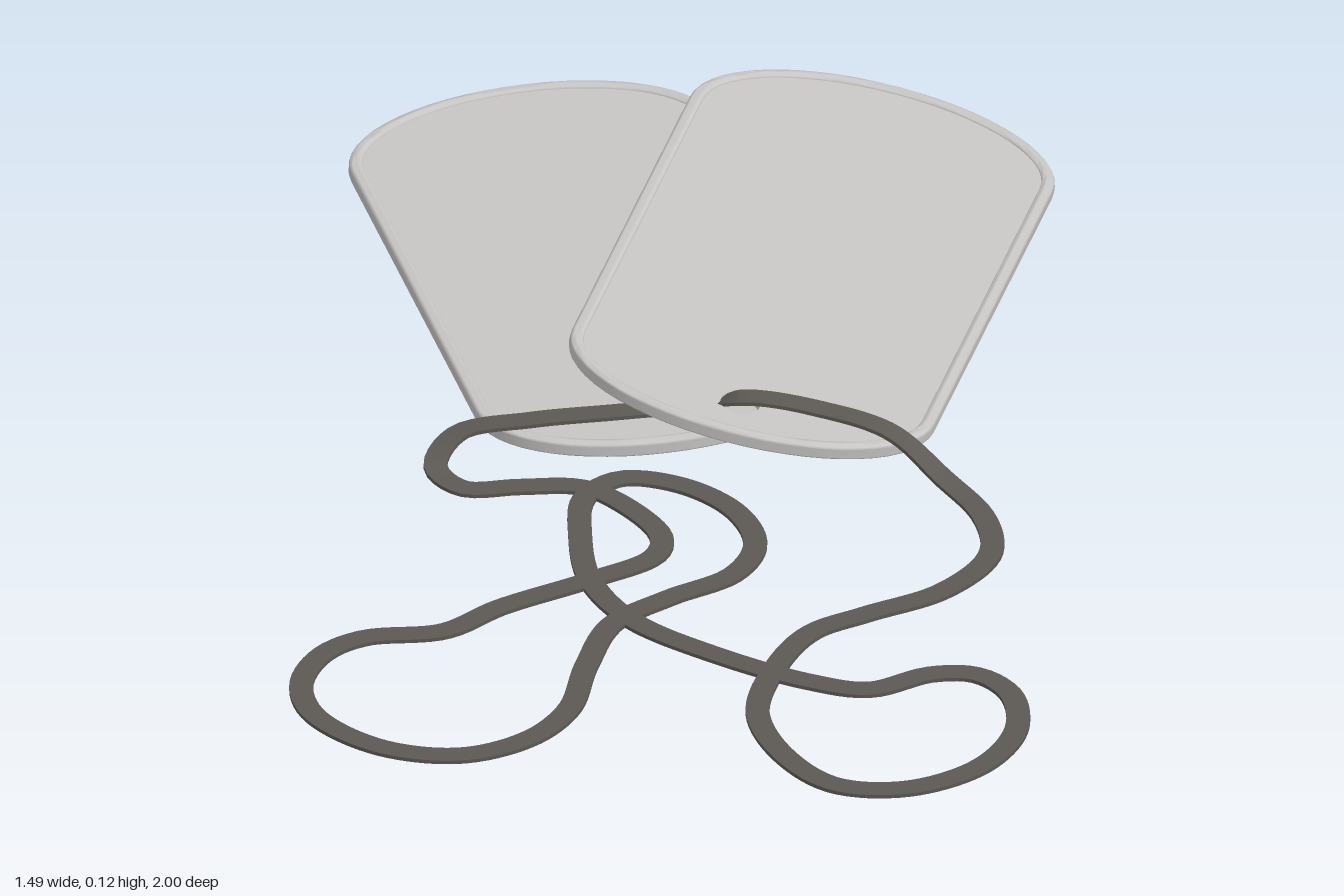
import * as THREE from 'three';
import { toCreasedNormals } from 'three/addons/utils/BufferGeometryUtils.js';

const steel = new THREE.MeshStandardMaterial({ color: 0xc6c5c3 });
steel.name = 'steel';
const darkChain = new THREE.MeshStandardMaterial({ color: 0x5c5854, side: THREE.DoubleSide });
darkChain.name = 'dark chain';

const HOLE_Y = -0.418;

// Straight sides with shallow elliptical ends, shrunk by an inset
function outline(inset, Type = THREE.Shape) {
  const pts = [];
  for (const end of [1, -1]) {
    for (let i = 0; i <= 28; i++) {
      const a = (i / 28) * Math.PI;
      pts.push(new THREE.Vector2(
        end * (0.285 - inset) * Math.cos(a),
        end * (0.34 + (0.165 - inset) * Math.sin(a))));
    }
  }
  return new Type(pts);
}

// Lay an extrusion flat, centred on its thickness
function flatExtrude(shape, options) {
  const geo = new THREE.ExtrudeGeometry(shape, { curveSegments: 24, ...options });
  geo.translate(0, 0, -options.depth / 2);
  geo.rotateX(-Math.PI / 2);
  return toCreasedNormals(geo, 0.8);
}

function makeTag(name) {
  const tag = new THREE.Group();
  tag.name = name;

  // Thin plate with the chain hole
  const plateShape = outline(0.014);
  plateShape.holes.push(new THREE.Path().absarc(0, HOLE_Y, 0.03, 0, Math.PI * 2, true));
  const plate = new THREE.Mesh(
    flatExtrude(plateShape, { depth: 0.016, bevelEnabled: false }), steel);
  plate.name = name + 'Plate';

  // Rolled rim
  const rimShape = outline(0.009);
  rimShape.holes.push(outline(0.013, THREE.Path));
  const rim = new THREE.Mesh(flatExtrude(rimShape, {
    depth: 0.008, bevelEnabled: true, bevelSize: 0.009, bevelThickness: 0.009, bevelSegments: 4,
  }), steel);
  rim.name = name + 'Rim';

  tag.add(plate, rim);
  return tag;
}

// Chain route as [x, z, y]; y defaults to lying on the ground
const overTags = [
  [-0.36, -0.06, 0.012], [-0.31, -0.11, 0.032], [-0.2, -0.095, 0.045], [-0.08, -0.08, 0.046],
  [0.01, -0.075, 0.042], [0.05, -0.04, 0.06], [0.085, 0.0, 0.092],
  [0.12, 0.015, 0.096], [0.2, 0.05, 0.086], [0.3, 0.12, 0.068], [0.36, 0.19, 0.02],
];
const frontLoop = [
  [0.395, 0.29], [0.375, 0.395], [0.28, 0.47], [0.15, 0.5], [0.06, 0.525], [-0.02, 0.605],
  [-0.08, 0.72], [-0.07, 0.85], [-0.02, 0.94], [0.08, 0.977], [0.2, 0.95], [0.28, 0.87],
  [0.3, 0.77], [0.265, 0.705], [0.2, 0.685], [0.1, 0.7], [0.02, 0.655], [-0.1, 0.54],
  [-0.19, 0.42], [-0.22, 0.3], [-0.2, 0.17], [-0.165, 0.075], [-0.1, 0.04], [-0.02, 0.08],
];
const sideLoop = [
  [0.04, 0.17], [0.045, 0.27], [-0.01, 0.34], [-0.12, 0.375], [-0.22, 0.42], [-0.29, 0.52],
  [-0.35, 0.63], [-0.43, 0.69], [-0.54, 0.705], [-0.65, 0.65], [-0.72, 0.54], [-0.715, 0.45],
  [-0.66, 0.38], [-0.59, 0.355], [-0.47, 0.37], [-0.37, 0.33], [-0.22, 0.295], [-0.11, 0.26],
  [-0.085, 0.21], [-0.12, 0.1], [-0.165, 0.045], [-0.25, 0.02], [-0.335, 0.0],
];

// Flat closed band swept along the route, kept level across its width
function makeChain() {
  const path = new THREE.CatmullRomCurve3(
    [...overTags, ...frontLoop, ...sideLoop].map(([x, z, y = 0.006]) => new THREE.Vector3(x, y, z)),
    true);
  const steps = 420, halfWidth = 0.018, halfThick = 0.003;
  const section = [[-1, -1], [1, -1], [1, 1], [-1, 1]];
  const positions = [], index = [];
  for (let i = 0; i < steps; i++) {
    const p = path.getPointAt(i / steps);
    const t = path.getTangentAt(i / steps);
    const side = new THREE.Vector3(-t.z, 0, t.x).normalize();
    const up = new THREE.Vector3().crossVectors(side, t).normalize();
    for (const [s, u] of section) {
      const v = p.clone().addScaledVector(side, s * halfWidth).addScaledVector(up, u * halfThick);
      positions.push(v.x, Math.max(v.y, 0), v.z);
    }
    const a = i * 4, b = ((i + 1) % steps) * 4;
    for (let j = 0; j < 4; j++) {
      const k = (j + 1) % 4;
      index.push(a + j, a + k, b + j, a + k, b + k, b + j);
    }
  }
  // Check winding against the section's top face so that normals point outward
  const geo = new THREE.BufferGeometry();
  geo.setAttribute('position', new THREE.Float32BufferAttribute(positions, 3));
  geo.setIndex(index);
  geo.computeVertexNormals();
  if (geo.attributes.normal.getY(4 * 200 + 2) < 0) {
    geo.setIndex(index.map((_, n) => index[n - (n % 3) + 2 - (n % 3)]));
  }
  const mesh = new THREE.Mesh(toCreasedNormals(geo, 0.7), darkChain);
  mesh.name = 'chain';
  return mesh;
}

export function createModel() {
  const model = new THREE.Group();
  model.name = 'tagsOnChain';

  // Lower tag lies flat
  const lower = makeTag('lowerTag');
  lower.position.set(0.015, 0.027, -0.495);

  // Upper tag is turned and leans on the lower one
  const upper = makeTag('upperTag');
  const normal = new THREE.Vector3(0.124, 1, 0.054).normalize();
  const along = new THREE.Vector3(-0.515, 0.018, 0.857).projectOnPlane(normal).normalize();
  const across = new THREE.Vector3().crossVectors(normal, along);
  upper.quaternion.setFromRotationMatrix(new THREE.Matrix4().makeBasis(across, normal, along));
  upper.position.set(0.312, 0.069, -0.355);

  model.add(lower, upper, makeChain());
  return model;
}
